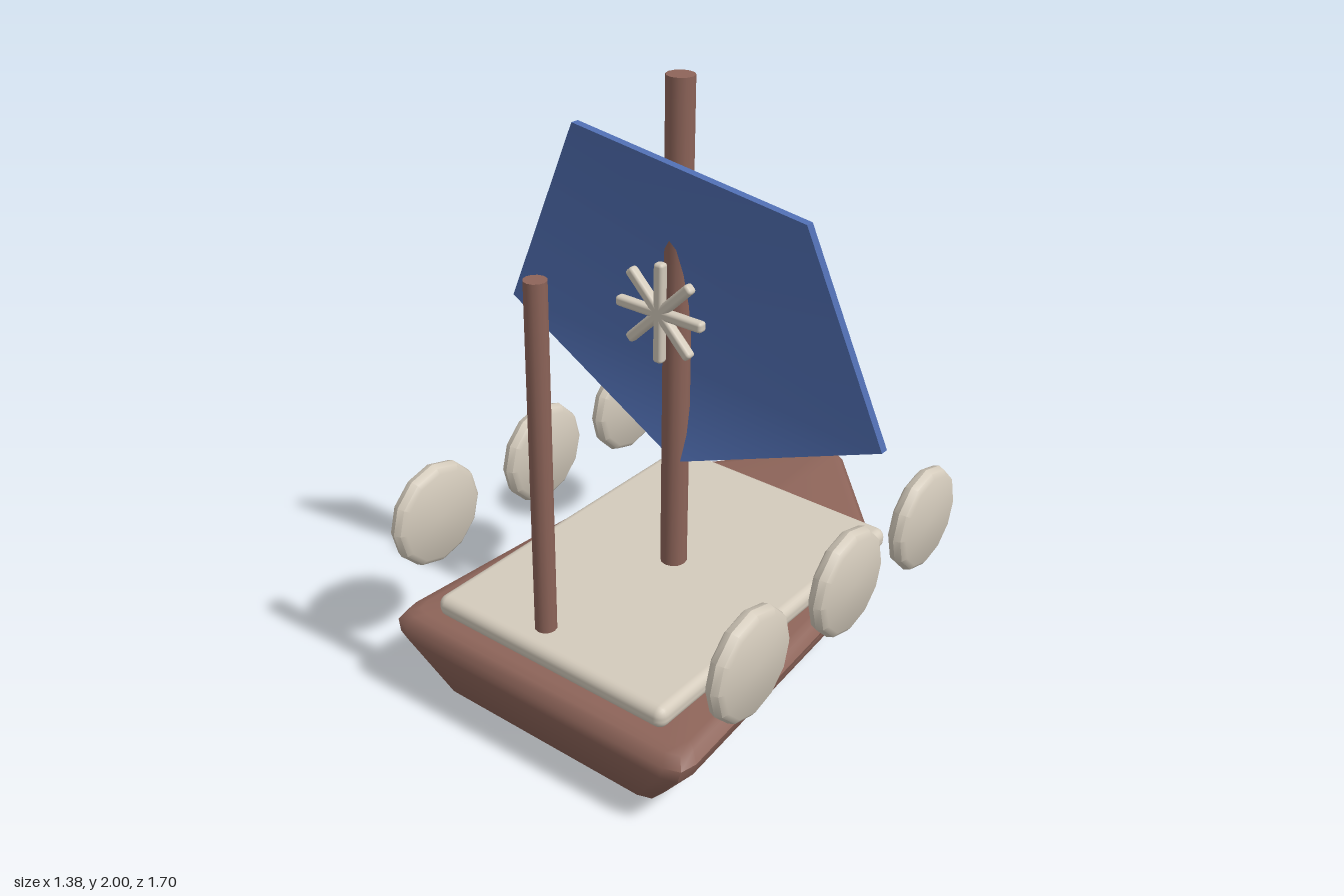
import * as THREE from 'three';
import { toCreasedNormals } from 'three/addons/utils/BufferGeometryUtils.js';
import { RoundedBoxGeometry } from 'three/addons/geometries/RoundedBoxGeometry.js';

const mat = (name, color) => {
  const m = new THREE.MeshStandardMaterial({ color });
  m.name = name;
  return m;
};

function fromIndexed(points, index, crease) {
  const g = new THREE.BufferGeometry();
  g.setAttribute('position', new THREE.Float32BufferAttribute(points.flat(), 3));
  g.setIndex(index);
  return toCreasedNormals(g, crease);
}

// One hull ring: a five-cornered outline (square stern, pointed bow) with rounded corners
function hullRing([zStern, wStern, zShoulder, wShoulder, zBow, yStern, yShoulder, yBow, r]) {
  const corners = [
    [-wStern, yStern, zStern], [wStern, yStern, zStern],
    [wShoulder, yShoulder, zShoulder], [0, yBow, zBow], [-wShoulder, yShoulder, zShoulder],
  ].map(p => new THREE.Vector3(...p));
  const ring = [];
  corners.forEach((p, i) => {
    const toward = q => q.clone().sub(p).setLength(r).add(p);
    const a = toward(corners[(i + 4) % 5]), b = toward(corners[(i + 1) % 5]);
    const mid = a.clone().add(b).multiplyScalar(0.25).addScaledVector(p, 0.5);
    ring.push(a.toArray(), mid.toArray(), b.toArray());
  });
  return ring;
}

function hullGeometry() {
  // stern z, stern half width, shoulder z, shoulder half width, bow z, y at stern / shoulder / bow, corner radius
  const rings = [
    [0.69, 0.34, -0.19, 0.31, -0.58, 0.010, 0.018, 0.053, 0.04],
    [0.73, 0.38, -0.21, 0.34, -0.62, 0.014, 0.022, 0.060, 0.05],
    [0.79, 0.44, -0.25, 0.39, -0.69, 0.045, 0.055, 0.095, 0.06],
    [0.85, 0.58, -0.36, 0.495, -0.865, 0.225, 0.24, 0.31, 0.07],
    [0.848, 0.59, -0.365, 0.50, -0.875, 0.265, 0.28, 0.338, 0.07],
    [0.82, 0.565, -0.36, 0.475, -0.845, 0.295, 0.308, 0.361, 0.06],
    [0.79, 0.535, -0.35, 0.45, -0.81, 0.300, 0.312, 0.362, 0.05],
  ].map(hullRing);
  const n = rings[0].length, last = rings.length - 1;
  const points = rings.flat(), index = [];
  const bottom = points.push([0, 0.015, 0]) - 1;
  const top = points.push([0, 0.31, 0]) - 1;
  for (let i = 0; i < n; i++) {
    const j = (i + 1) % n;
    for (let l = 0; l < last; l++) {
      const a = l * n + i, b = l * n + j;
      index.push(a, b, b + n, a, b + n, a + n);
    }
    index.push(bottom, j, i, top, last * n + i, last * n + j);
  }
  return fromIndexed(points, index, 0.9);
}

// Five-cornered sail, folded along the line between its side corners
function sailGeometry() {
  const corners = [
    [-0.29, 1.83, 0.24], [-0.695, 1.14, 0.112], [0.01, 0.76, 0.15],
    [0.69, 0.97, 0.042], [0.465, 1.65, 0.132],
  ];
  const shift = d => corners.map(([x, y, z]) => [x, y, z + d]);
  const faces = [[0, 1, 3], [0, 3, 4], [1, 2, 3]];
  const index = [];
  faces.forEach(([a, b, c]) => index.push(a, b, c, a + 5, c + 5, b + 5));
  for (let i = 0; i < 5; i++) {
    const j = (i + 1) % 5;
    index.push(i, i + 5, j + 5, i, j + 5, j);
  }
  return fromIndexed([...shift(0.014), ...shift(-0.014)], index, 0.7);
}

// Round shield with bevelled rim, axis along x
function shieldGeometry() {
  const profile = [[0, -0.033], [0.155, -0.033], [0.172, -0.022], [0.18, 0],
    [0.172, 0.022], [0.155, 0.033], [0, 0.033]].map(p => new THREE.Vector2(...p));
  return toCreasedNormals(new THREE.LatheGeometry(profile, 12), 0.65).rotateZ(Math.PI / 2);
}

export function createModel() {
  const wood = mat('brown wood', 0x8d6459);
  const cream = mat('cream', 0xd3cabb);
  const blue = mat('blue cloth', 0x4f6db0);

  const model = new THREE.Group();
  model.name = 'sailingShip';
  // The ship leans slightly to its left
  const ship = new THREE.Group();
  ship.name = 'leaningShip';
  ship.position.x = -0.03;
  ship.rotation.z = -0.027;
  model.add(ship);

  const add = (parent, name, geometry, material, x = 0, y = 0, z = 0) => {
    const mesh = new THREE.Mesh(geometry, material);
    mesh.name = name;
    mesh.position.set(x, y, z);
    parent.add(mesh);
    return mesh;
  };

  add(ship, 'hull', hullGeometry(), wood);
  add(ship, 'deck', new RoundedBoxGeometry(0.91, 0.074, 1.24, 3, 0.032), cream, 0, 0.336, 0.152);

  // Masts
  const mast = (name, r, y0, y1, z) =>
    add(ship, name, new THREE.CylinderGeometry(r, r, y1 - y0, 12), wood, 0, (y0 + y1) / 2, z);
  mast('mainMast', 0.044, 0.3, 1.999, 0.138);
  mast('frontMast', 0.034, 0.455, 1.577, 0.753);

  // Sail
  add(model, 'sail', sailGeometry(), blue);

  // Eight-pointed star in front of the sail
  const star = new THREE.Group();
  star.name = 'star';
  star.position.set(0, 1.292, 0.222);
  for (let i = 0; i < 4; i++) {
    add(star, 'starBar', new RoundedBoxGeometry(0.325, 0.034, 0.034, 2, 0.011), cream)
      .rotation.z = i * Math.PI / 4;
  }
  ship.add(star);

  // Rows of shields along both sides
  const shield = shieldGeometry();
  for (const side of [-1, 1]) {
    for (const z of [0.597, 0.088, -0.375]) {
      add(ship, side > 0 ? 'leftShield' : 'rightShield', shield, cream, side * 0.624, 0.529, z);
    }
  }
  return model;
}
